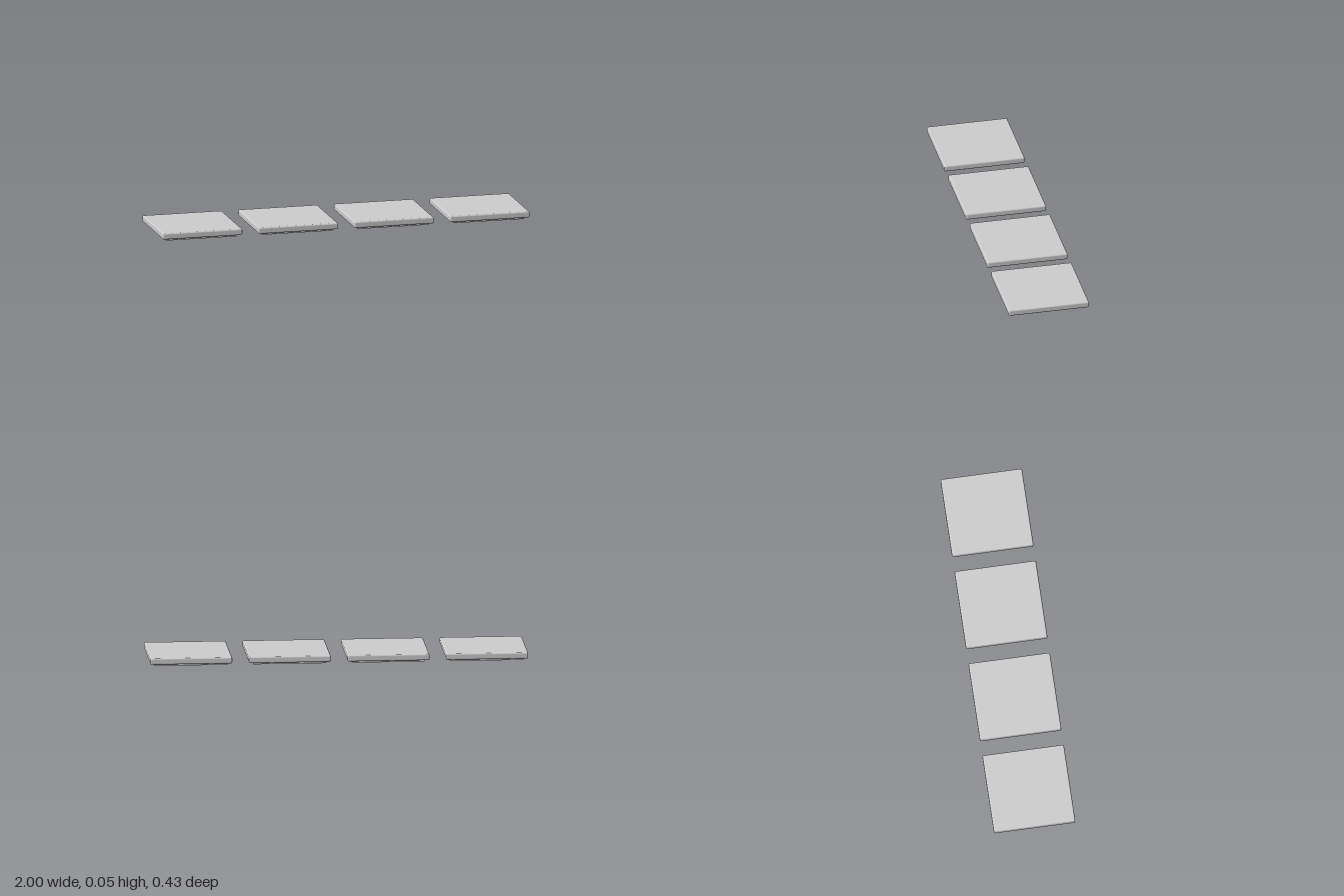
import * as THREE from 'three';
import { RoundedBoxGeometry } from 'three/addons/geometries/RoundedBoxGeometry.js';

const TILE = 0.434;     // tile width and depth
const SPACING = 0.522;  // distance between tile centres
const BASE = 0.385;     // width of the recessed foot

export function createModel() {
  const model = new THREE.Group();
  model.name = 'tileRow';
  const grey = new THREE.MeshStandardMaterial({ color: 0xcccccc });

  // Soft-edged slab and the thin foot beneath it
  const slabGeometry = new RoundedBoxGeometry(TILE, 0.034, TILE, 4, 0.008);
  const footGeometry = new THREE.BoxGeometry(BASE, 0.012, BASE);

  for (let i = 0; i < 4; i++) {
    const tile = new THREE.Group();
    tile.name = `tile${i + 1}`;
    tile.position.x = (i - 1.5) * SPACING;

    const slab = new THREE.Mesh(slabGeometry, grey);
    slab.name = 'slab';
    slab.position.y = 0.028;

    const foot = new THREE.Mesh(footGeometry, grey);
    foot.name = 'foot';
    foot.position.y = 0.006;

    tile.add(slab, foot);
    model.add(tile);
  }
  return model;
}
